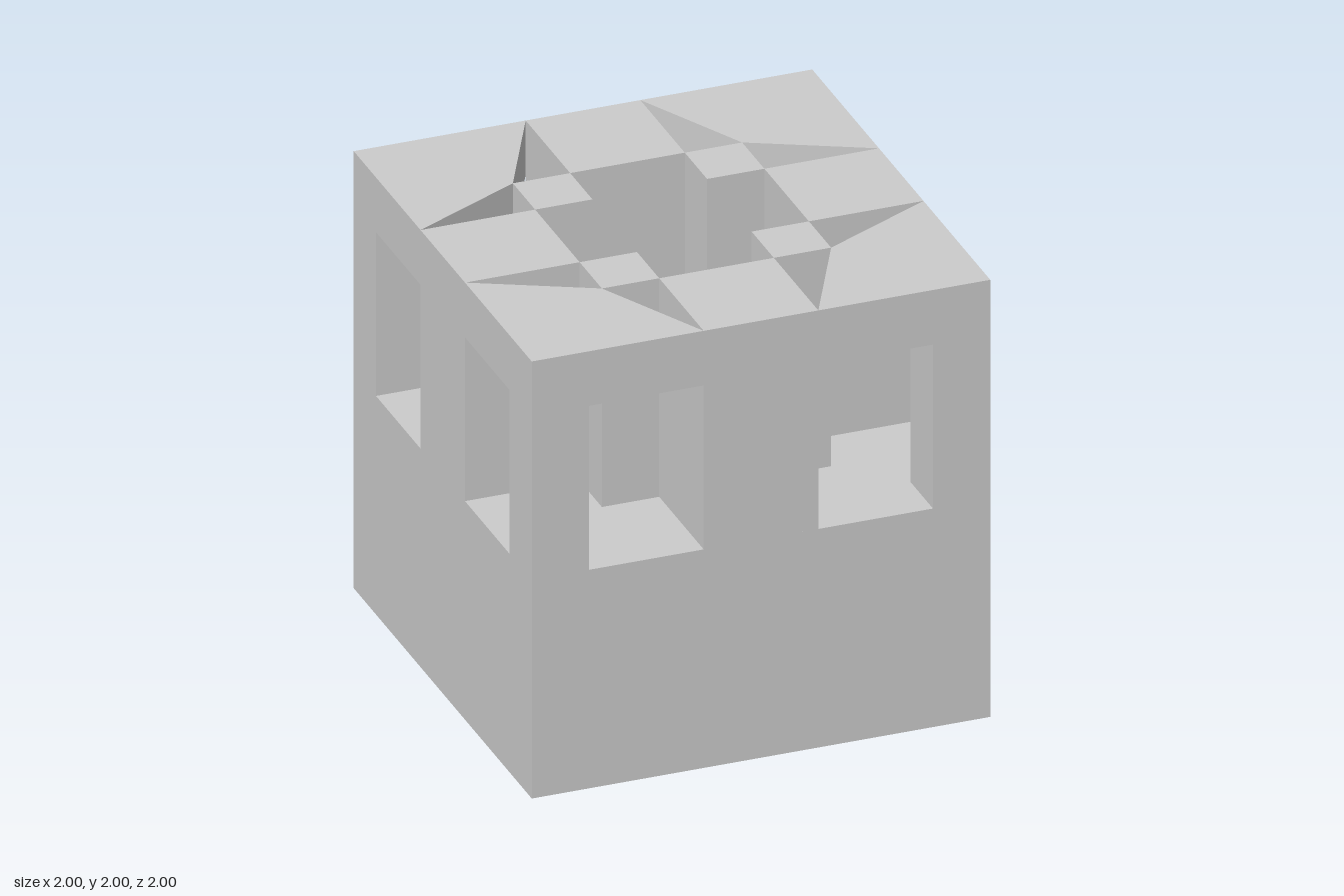
import * as THREE from 'three';

const material = new THREE.MeshStandardMaterial({ color: 0xcccccc, flatShading: true });

// Upright prism from a plan outline of [x, z] points, between two heights
function prism(name, outline, bottom, top, hole) {
  const toPlan = ([x, z]) => new THREE.Vector2(x, -z);
  const shape = new THREE.Shape(outline.map(toPlan));
  if (hole) shape.holes.push(new THREE.Path(hole.map(toPlan)));
  const geometry = new THREE.ExtrudeGeometry(shape, { depth: top - bottom, bevelEnabled: false });
  geometry.rotateX(-Math.PI / 2);
  geometry.translate(0, bottom, 0);
  const mesh = new THREE.Mesh(geometry, material);
  mesh.name = name;
  return mesh;
}

const rect = (x0, z0, x1, z1) => [[x0, z0], [x1, z0], [x1, z1], [x0, z1]];

export function createModel() {
  const model = new THREE.Group();
  model.name = 'cutCube';

  // Four-pointed star sunk into the floor of the central shaft
  const star = [];
  for (let i = 0; i < 8; i++) {
    const angle = (i * Math.PI) / 4;
    const radius = i % 2 ? 0.125 * Math.SQRT2 : 0.5;
    star.push([radius * Math.cos(angle), radius * Math.sin(angle)]);
  }

  // Solid lower half: closed bottom, then a layer pierced by the star
  const square = rect(-1, -1, 1, 1);
  model.add(prism('baseBottom', square, 0, 0.5));
  model.add(prism('baseWithStarWell', square, 0.5, 1, star));

  // Upper half: one quarter repeated around the vertical axis
  for (let i = 0; i < 4; i++) {
    const quarter = new THREE.Group();
    quarter.name = `quarter${i + 1}`;
    quarter.rotation.y = (i * Math.PI) / 2;
    quarter.add(
      prism('sideBlock', rect(-0.25, 0.5, 0.25, 1), 1, 2),
      prism('innerPost', rect(0.25, 0.25, 0.5, 0.5), 1, 2),
      prism('cornerPillar', rect(0.75, 0.75, 1, 1), 1, 1.75),
      // Roof over the corner passage, leaving triangular openings beside it
      prism('cornerRoof', [[0.25, 1], [0.5, 0.5], [1, 0.25], [1, 1]], 1.75, 2)
    );
    model.add(quarter);
  }
  return model;
}
